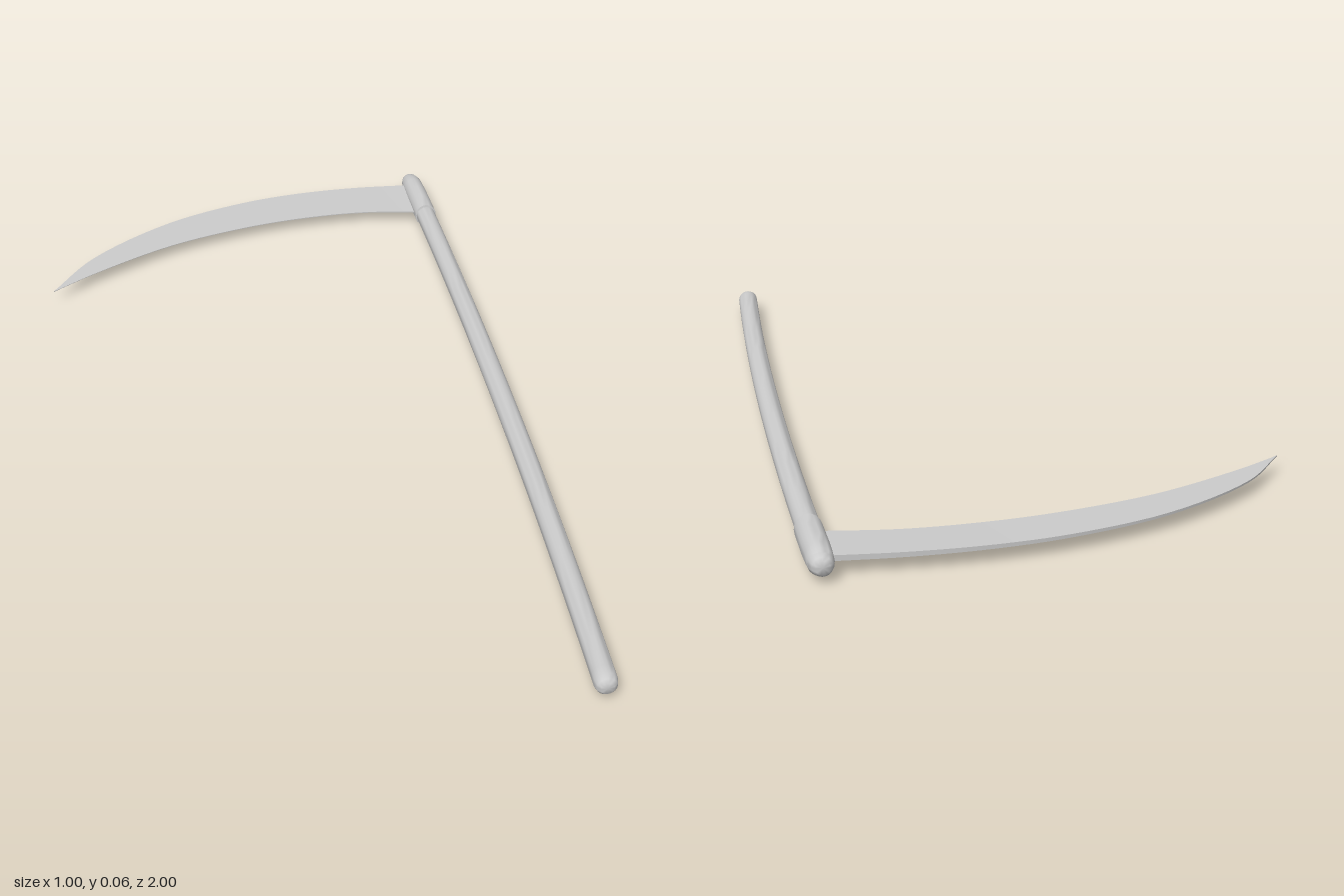
import * as THREE from 'three';
import { toCreasedNormals } from 'three/addons/utils/BufferGeometryUtils.js';

const MID_Y = 0.03;

// Skin a list of equal-length rings of points
function loft(rings, crease) {
  const n = rings[0].length;
  const index = [];
  for (let i = 0; i < rings.length - 1; i++) {
    for (let j = 0; j < n; j++) {
      const k = (j + 1) % n;
      const a = i * n + j, b = i * n + k, c = (i + 1) * n + k, d = (i + 1) * n + j;
      index.push(a, b, c, a, c, d);
    }
  }
  const geo = new THREE.BufferGeometry();
  geo.setAttribute('position', new THREE.Float32BufferAttribute(rings.flat(2), 3));
  geo.setIndex(index);
  return toCreasedNormals(geo, crease);
}

// The shaft bows gently outwards in the middle
const bowX = (z) => 0.455 + 0.018 * (1 - z * z);

// Elliptical ring around the bowed shaft axis
function shaftRing([z, rx, ry], sides = 20) {
  return Array.from({ length: sides }, (_, j) => {
    const a = (j / sides) * Math.PI * 2;
    return [bowX(z) + rx * Math.cos(a), MID_Y + ry * Math.sin(a), z];
  });
}

export function createModel() {
  const group = new THREE.Group();
  const material = new THREE.MeshStandardMaterial({ color: 0xcccccc });
  const add = (name, geometry) => {
    const mesh = new THREE.Mesh(geometry, material);
    mesh.name = name;
    group.add(mesh);
  };

  // Long shaft with rounded ends
  const shaft = [[-1, 0, 0], [-1, 0.013, 0.013], [-0.994, 0.019, 0.018], [-0.98, 0.023, 0.022]];
  for (let i = 0; i <= 24; i++) shaft.push([-0.96 + (i / 24) * 1.92, 0.0235, 0.0235]);
  shaft.push([0.982, 0.0235, 0.023], [0.994, 0.02, 0.019], [1, 0.013, 0.013], [1, 0, 0]);
  add('shaft', loft(shaft.map((s) => shaftRing(s)), 0.9));

  // Collar that holds the blade
  const collar = [
    [-0.985, 0.02, 0.02], [-0.97, 0.0245, 0.026], [-0.945, 0.0255, 0.029], [-0.9, 0.0265, 0.03],
    [-0.85, 0.0265, 0.03], [-0.8, 0.0265, 0.029], [-0.798, 0.02, 0.02],
  ];
  add('collar', loft(collar.map((s) => shaftRing(s)), 0.9));

  // Curved blade: [x, z] of the thick back and of the thin cutting edge
  const edge = (pts) => new THREE.CatmullRomCurve3(pts.map(([x, z]) => new THREE.Vector3(x, 0, z)));
  const back = edge([[0.45, -0.955], [0.3, -0.96], [0.15, -0.95], [0, -0.92],
    [-0.2, -0.84], [-0.4, -0.69], [-0.505, -0.545]]);
  const cutting = edge([[0.45, -0.818], [0.3, -0.834], [0.15, -0.825], [0, -0.797],
    [-0.2, -0.73], [-0.4, -0.618], [-0.505, -0.545]]);
  const blade = [];
  for (let i = 0; i <= 36; i++) {
    const t = i / 36;
    const b = back.getPoint(t), c = cutting.getPoint(t);
    const h = 0.0055 * (1 - 0.8 * t), e = 0.0012 * (1 - 0.6 * t);
    blade.push([
      [c.x, MID_Y + e, c.z], [b.x, MID_Y + h, b.z],
      [b.x, MID_Y - h, b.z], [c.x, MID_Y - e, c.z],
    ]);
  }
  add('blade', loft(blade, 0.6));

  return group;
}
